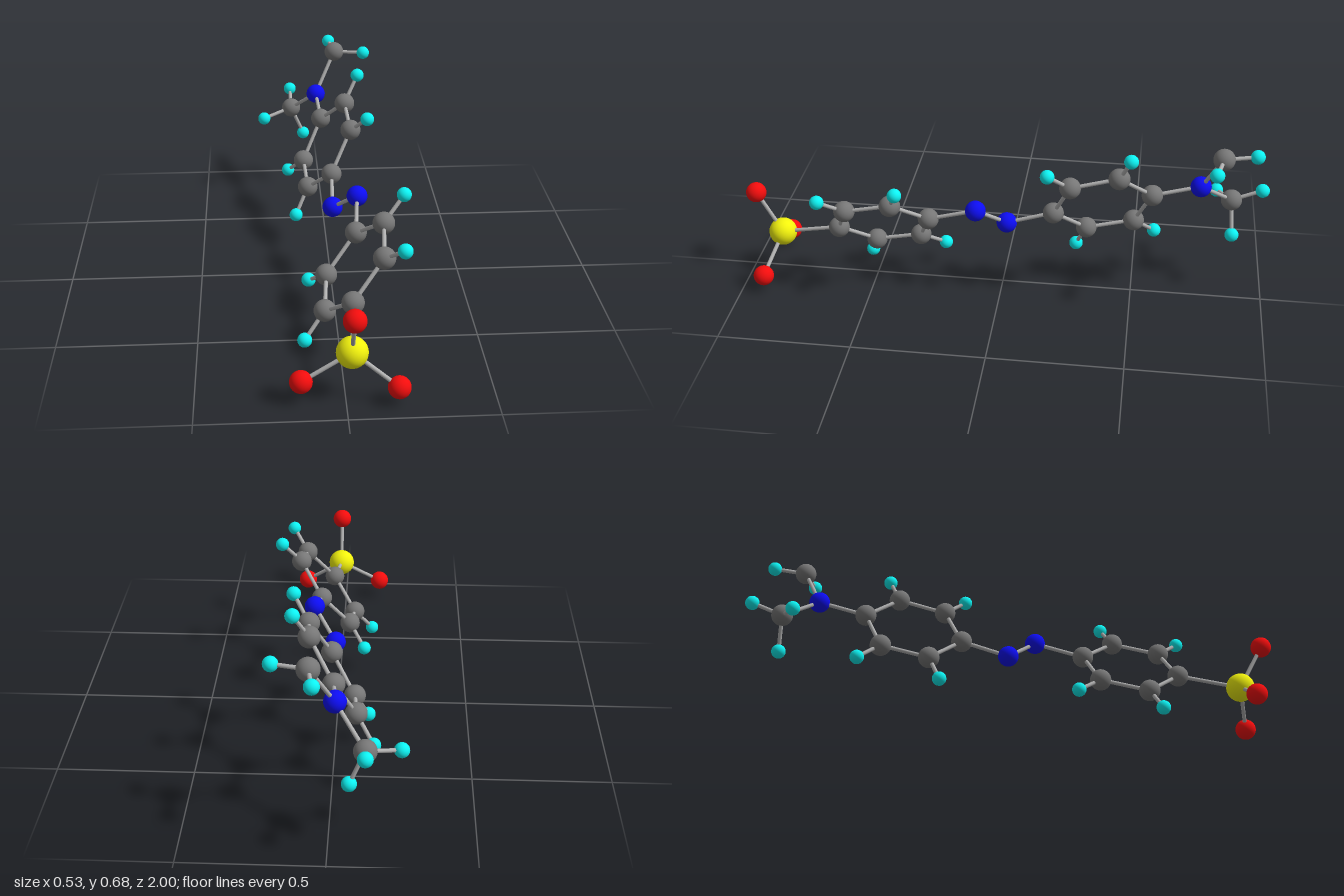
import * as THREE from 'three';

// Element styles: name, radius, colour
const ELEMENTS = {
  C: ['carbon', 0.04, 0x777777],
  N: ['nitrogen', 0.039, 0x0d0df2],
  O: ['oxygen', 0.039, 0xf20d0d],
  S: ['sulfur', 0.054, 0xf2f20d],
  H: ['hydrogen', 0.0265, 0x0df2f2],
};
const BOND_RADIUS = 0.0075;

// Each atom: element, x, y, z, index of the atom it is bonded to
const ATOMS = [
  // sulfonate head
  ['S', 0.021, 0.174, 0.869],
  ['O', 0.022, 0.345, 0.961, 0],
  ['O', -0.148, 0.078, 0.887, 0],
  ['O', 0.174, 0.063, 0.914, 0],
  // front ring, 4 to 9
  ['C', 0.041, 0.225, 0.635, 0],
  ['C', 0.151, 0.365, 0.582, 4],
  ['C', 0.165, 0.41, 0.403, 5],
  ['C', 0.077, 0.312, 0.276, 6],
  ['C', -0.034, 0.17, 0.328, 7],
  ['C', -0.049, 0.125, 0.509, 8],
  ['H', 0.212, 0.433, 0.667, 5],
  ['H', 0.239, 0.501, 0.367, 6],
  ['H', -0.095, 0.103, 0.24, 8],
  ['H', -0.122, 0.028, 0.545, 9],
  // nitrogen bridge, 14 and 15
  ['N', 0.095, 0.372, 0.092, 7],
  ['N', 0.01, 0.278, -0.016, 14],
  // rear ring, 16 to 21
  ['C', 0.016, 0.338, -0.194, 15],
  ['C', 0.095, 0.496, -0.26, 16],
  ['C', 0.083, 0.541, -0.438, 17],
  ['C', -0.007, 0.429, -0.561, 18],
  ['C', -0.083, 0.27, -0.496, 19],
  ['C', -0.073, 0.229, -0.316, 20],
  ['H', 0.154, 0.571, -0.18, 17],
  ['H', 0.137, 0.645, -0.479, 18],
  ['H', -0.146, 0.192, -0.576, 20],
  ['H', -0.123, 0.123, -0.275, 21],
  // rear amine and its two carbon arms
  ['N', -0.019, 0.473, -0.738, 19],
  ['C', 0.063, 0.637, -0.808, 26],
  ['H', 0.185, 0.638, -0.782, 27],
  ['H', 0.045, 0.646, -0.927, 27],
  ['C', -0.122, 0.365, -0.861, 26],
  ['H', -0.241, 0.336, -0.808, 30],
  ['H', -0.124, 0.412, -0.974, 30],
  ['H', -0.07, 0.241, -0.871, 30],
];
// Bonds that close the two rings
const RING_CLOSURES = [[9, 4], [21, 16]];

export function createModel() {
  const model = new THREE.Group();
  model.name = 'molecule';
  const atoms = new THREE.Group();
  atoms.name = 'atoms';
  const bonds = new THREE.Group();
  bonds.name = 'bonds';
  model.add(atoms, bonds);

  // One shared sphere and material per element
  const styles = {};
  for (const [key, [name, radius, color]] of Object.entries(ELEMENTS)) {
    styles[key] = {
      name,
      geometry: new THREE.SphereGeometry(radius, 40, 24),
      material: new THREE.MeshStandardMaterial({ color }),
    };
  }

  const points = ATOMS.map(([, x, y, z]) => new THREE.Vector3(x, y, z));
  const bondMaterial = new THREE.MeshStandardMaterial({ color: 0xb0b0b0 });

  // Thin rod between two atom centres
  function addBond(a, b) {
    const direction = points[b].clone().sub(points[a]);
    const length = direction.length();
    const rod = new THREE.Mesh(
      new THREE.CylinderGeometry(BOND_RADIUS, BOND_RADIUS, length, 16, 1, true), bondMaterial);
    rod.name = 'bond';
    rod.position.copy(points[a]).lerp(points[b], 0.5);
    rod.quaternion.setFromUnitVectors(new THREE.Vector3(0, 1, 0), direction.normalize());
    bonds.add(rod);
  }

  ATOMS.forEach(([element, , , , parent], i) => {
    const { name, geometry, material } = styles[element];
    const ball = new THREE.Mesh(geometry, material);
    ball.name = name + 'Atom';
    ball.position.copy(points[i]);
    atoms.add(ball);
    if (parent !== undefined) addBond(parent, i);
  });
  RING_CLOSURES.forEach(([a, b]) => addBond(a, b));

  return model;
}
